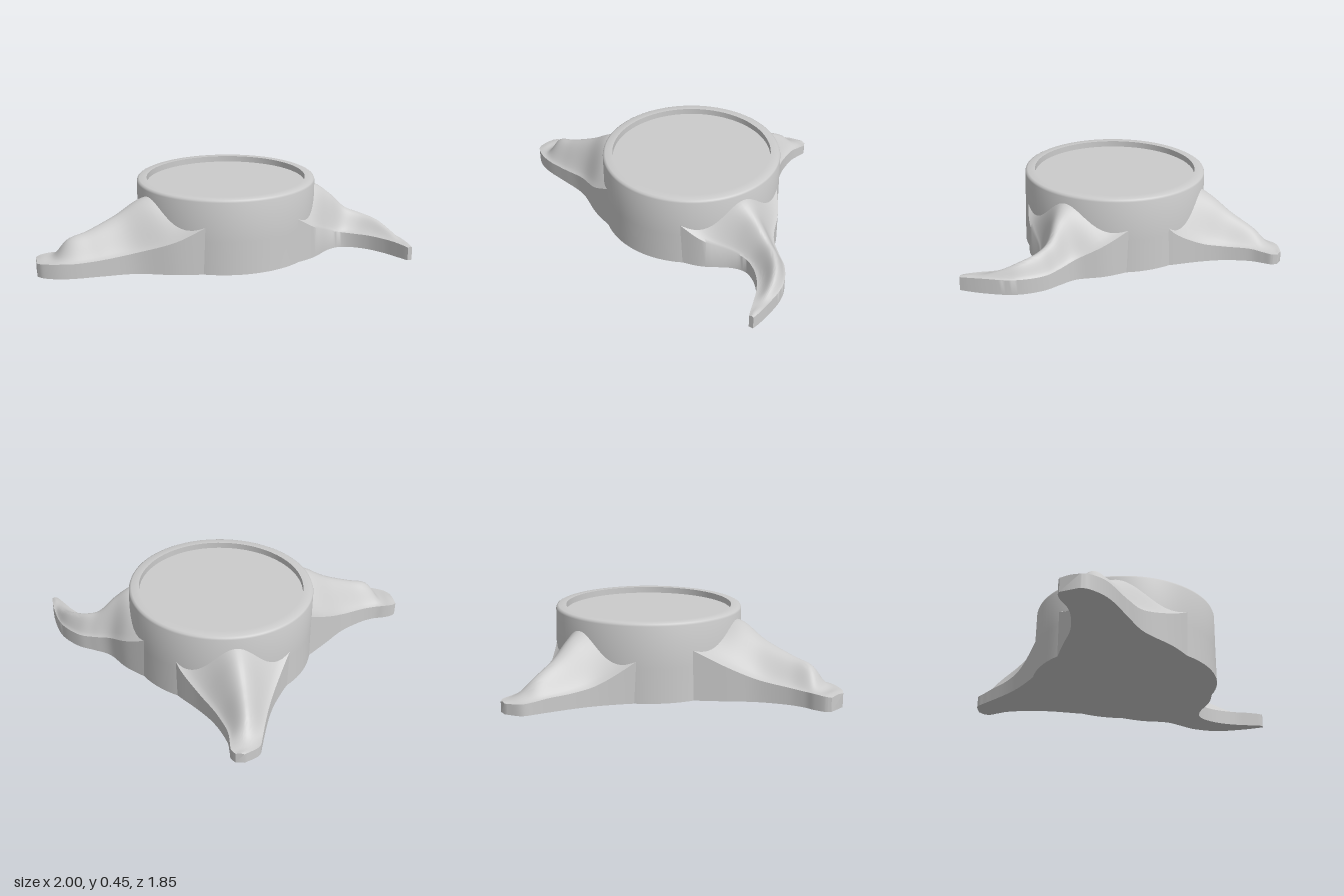
import * as THREE from 'three';
import { toCreasedNormals } from 'three/addons/utils/BufferGeometryUtils.js';

const material = new THREE.MeshStandardMaterial({ color: 0xcccccc });

// Each station, from root to tip: left x, z, right x, z, ridge height, edge height, ridge shift
const ARMS = {
  frontRightArm: [
    [-0.68, 0.10, -0.02, 0.49, 0.38, 0.30, 0],
    [-0.73, 0.30, -0.20, 0.58, 0.40, 0.20, 0],
    [-0.77, 0.47, -0.42, 0.65, 0.31, 0.13, 0],
    [-0.84, 0.62, -0.58, 0.76, 0.24, 0.10, 0],
    [-0.90, 0.70, -0.70, 0.85, 0.20, 0.09, 0],
    [-0.95, 0.74, -0.79, 0.90, 0.10, 0.09, 0],
    [-0.99, 0.785, -0.88, 0.92, 0.09, 0.085, 0],
    [-1.00, 0.82, -0.93, 0.91, 0.085, 0.08, 0],
  ],
  backRightArm: [
    [-0.12, -0.57, -0.69, -0.10, 0.38, 0.30, 0],
    [-0.20, -0.60, -0.69, -0.25, 0.40, 0.20, 0],
    [-0.35, -0.65, -0.70, -0.40, 0.34, 0.12, 0],
    [-0.48, -0.71, -0.725, -0.53, 0.25, 0.09, 0],
    [-0.60, -0.80, -0.765, -0.67, 0.17, 0.08, 0],
    [-0.65, -0.865, -0.79, -0.75, 0.10, 0.07, 0],
    [-0.68, -0.91, -0.805, -0.82, 0.07, 0.065, 0],
    [-0.715, -0.925, -0.76, -0.905, 0.065, 0.06, 0],
  ],
  leftArm: [
    [0.35, 0.15, 0.00, -0.54, 0.38, 0.30, 0],
    [0.43, 0.00, 0.22, -0.51, 0.40, 0.20, 0],
    [0.47, -0.17, 0.38, -0.45, 0.33, 0.13, 0],
    [0.52, -0.25, 0.50, -0.455, 0.235, 0.10, 0.1],
    [0.60, -0.28, 0.60, -0.465, 0.20, 0.09, 0.2],
    [0.70, -0.28, 0.72, -0.44, 0.17, 0.09, 0.3],
    [0.80, -0.255, 0.81, -0.39, 0.13, 0.09, 0.3],
    [0.88, -0.222, 0.90, -0.31, 0.095, 0.09, 0.2],
    [0.95, -0.19, 0.96, -0.245, 0.09, 0.085, 0],
    [0.975, -0.18, 0.995, -0.20, 0.085, 0.08, 0],
  ],
};

// Lofts a rounded ridge with short upright sides along the stations
function armGeometry(stations) {
  const curve = (pick) => new THREE.CatmullRomCurve3(
    stations.map((s) => new THREE.Vector3(...pick(s))), false, 'catmullrom', 0.5);
  const left = curve((s) => [s[0], s[5], s[1]]);
  const right = curve((s) => [s[2], s[5], s[3]]);
  const ridge = curve((s) => [s[4], s[6], 0]);
  const across = 24, along = (stations.length - 1) * 6, ring = across + 3;
  const positions = [], index = [];
  for (let i = 0; i <= along; i++) {
    const t = i / along;
    const L = left.getPoint(t), R = right.getPoint(t), top = ridge.getPoint(t);
    positions.push(L.x, 0, L.z);
    for (let j = 0; j <= across; j++) {
      const s = (j / across) * 2 - 1;
      // the bump leans to one side by the ridge shift
      const w = s - top.y * (1 - s * s);
      const bump = Math.cos(w * Math.PI / 2) ** 1.6;
      const p = L.clone().lerp(R, j / across);
      positions.push(p.x, p.y + Math.max(0, top.x - p.y) * bump, p.z);
    }
    positions.push(R.x, 0, R.z);
  }
  for (let i = 0; i < along; i++) {
    for (let j = 0; j < ring; j++) {
      const a = i * ring + j, b = i * ring + (j + 1) % ring;
      index.push(a, a + ring, b, b, a + ring, b + ring);
    }
  }
  // tip cap
  const tip = along * ring;
  for (let j = 1; j < ring - 1; j++) index.push(tip, tip + j + 1, tip + j);
  const geometry = new THREE.BufferGeometry();
  geometry.setAttribute('position', new THREE.Float32BufferAttribute(positions, 3));
  geometry.setIndex(index);
  return toCreasedNormals(geometry, 0.75);
}

export function createModel() {
  const group = new THREE.Group();
  const add = (name, geometry) => {
    const mesh = new THREE.Mesh(geometry, material);
    mesh.name = name;
    group.add(mesh);
    return mesh;
  };

  // Round body with a raised rim and a shallow recess in the top
  const profile = [
    [0, 0], [0.555, 0], [0.552, 0.2], [0.55, 0.435], [0.546, 0.446], [0.535, 0.452],
    [0.49, 0.452], [0.49, 0.415], [0, 0.415],
  ].map(([r, y]) => new THREE.Vector2(r, y));
  const body = add('body', toCreasedNormals(new THREE.LatheGeometry(profile, 96), 0.75));
  body.position.set(-0.16, 0, -0.035);

  // Three flared arms
  for (const [name, stations] of Object.entries(ARMS)) add(name, armGeometry(stations));

  return group;
}
